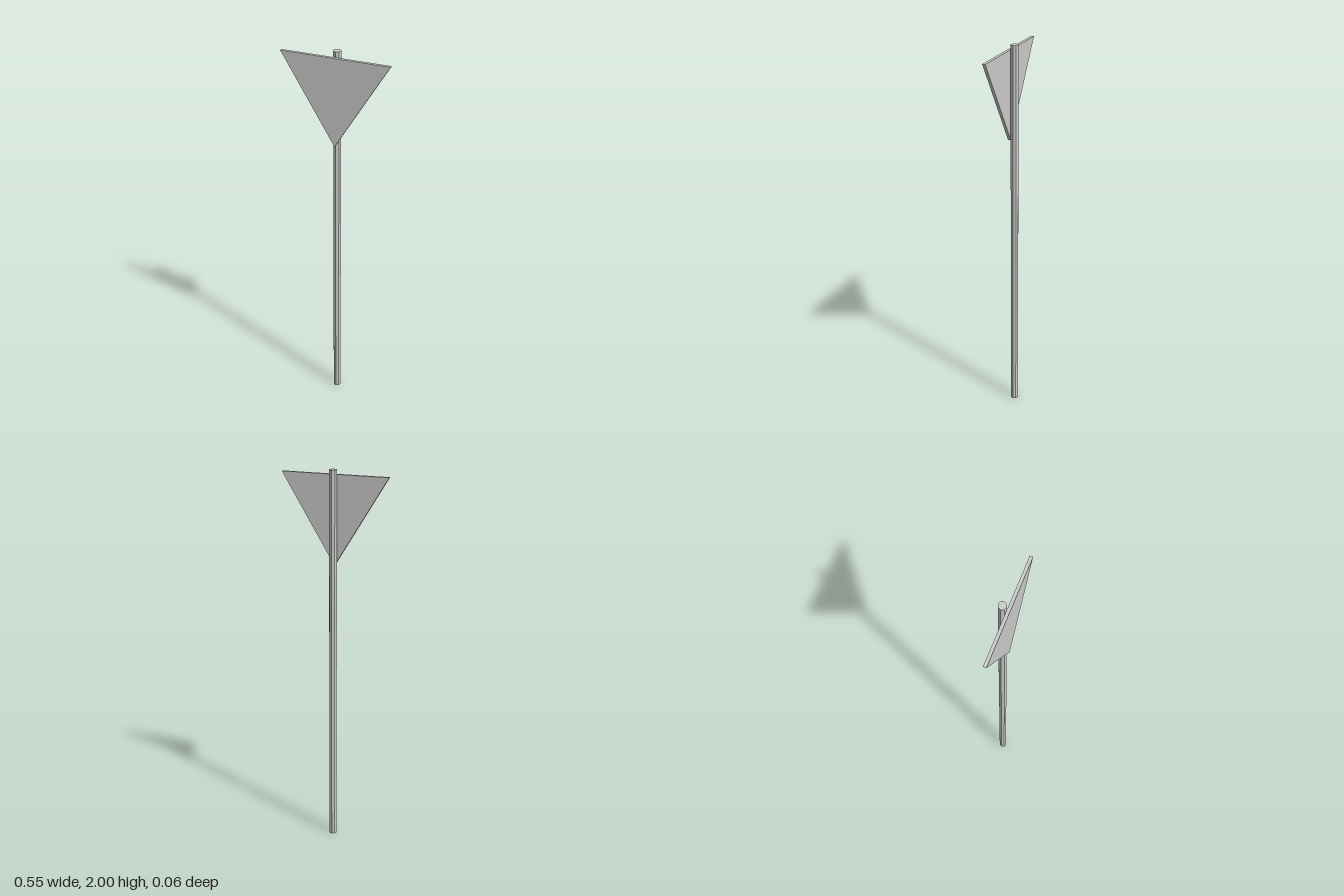
import * as THREE from 'three';

export function createModel() {
  const group = new THREE.Group();
  const material = new THREE.MeshStandardMaterial({ color: 0xcccccc, flatShading: true });

  // Octagonal post, standing on the ground
  const radius = 0.0205, height = 2;
  const post = new THREE.Mesh(new THREE.CylinderGeometry(radius, radius, height, 8), material);
  post.name = 'post';
  post.position.set(0, height / 2, -0.008);
  group.add(post);

  // Thin triangular sign plate, point down, fixed to the front of the post
  const shape = new THREE.Shape([
    new THREE.Vector2(0, 1.52),
    new THREE.Vector2(0.275, 1.972),
    new THREE.Vector2(-0.275, 1.975),
  ]);
  const plate = new THREE.Mesh(
    new THREE.ExtrudeGeometry(shape, { depth: 0.0155, bevelEnabled: false }),
    material,
  );
  plate.name = 'signPlate';
  plate.position.z = 0.0122;
  group.add(plate);

  return group;
}
